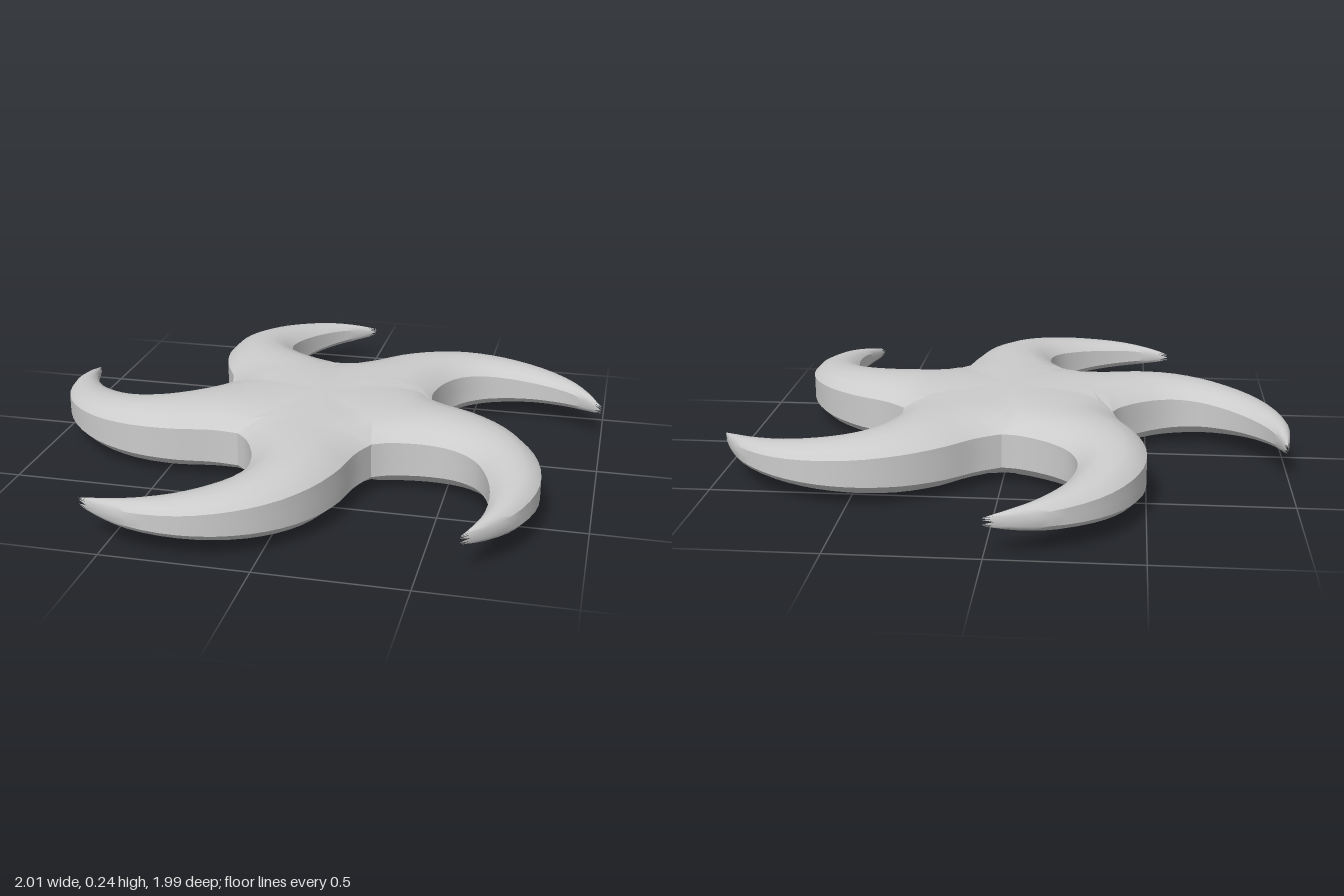
import * as THREE from 'three';
import { mergeGeometries, toCreasedNormals } from 'three/addons/utils/BufferGeometryUtils.js';

const ARMS = 5, MID = 0.122, STEPS = 24;
const CX = 0.007, CZ = 0.042; // hub of the star

// Plan outline of one arm, (x, z) from notch to tip
const inner = [[0, -0.36], [-0.06, -0.37], [-0.17, -0.43], [-0.245, -0.51], [-0.272, -0.6],
  [-0.26, -0.69], [-0.22, -0.79], [-0.15, -0.89], [-0.08, -0.95], [0, -1]];
const outer = [[-0.377, -0.076], [-0.4, -0.17], [-0.46, -0.3], [-0.496, -0.45], [-0.49, -0.6],
  [-0.44, -0.74], [-0.35, -0.86], [-0.22, -0.95], [-0.1, -0.987], [0, -1]];
// Half thickness at the same stations
const thick = [0.122, 0.122, 0.118, 0.109, 0.096, 0.082, 0.066, 0.05, 0.034, 0.014];

// Half cross-section: position across the arm, share of the half thickness
const section = [[-1, 0], [-1, 0.5], [-0.73, 0.8], [-0.36, 0.96], [0, 1],
  [0.36, 0.96], [0.73, 0.8], [1, 0.5], [1, 0]];

// Hub rings: distance from the hub, how much of the edge bevel remains
const hubRings = [[0, 0], [0.6, 0.08], [0.86, 0.35]];

function railCurve(points) {
  return new THREE.CatmullRomCurve3(
    points.map(([x, z], i) => new THREE.Vector3(x - CX, thick[i], z - CZ)), false, 'centripetal');
}

// One face (side = 1 top, -1 underside) of an arm and its wedge of the hub
function armHalf(side) {
  const inCurve = railCurve(inner), outCurve = railCurve(outer);
  // Make both notches meet their neighbours exactly
  outCurve.points[0].copy(inCurve.points[0]).applyAxisAngle(new THREE.Vector3(0, 1, 0), 2 * Math.PI / ARMS);

  const rows = [];
  const addRow = (t, scale, bevel) => {
    const a = outCurve.getPoint(t), b = inCurve.getPoint(t);
    rows.push(section.map(([s, h]) => {
      const p = a.clone().lerp(b, (s + 1) / 2);
      return [p.x * scale, side * p.y * (1 - (1 - h) * bevel), p.z * scale];
    }));
  };
  hubRings.forEach(([scale, bevel]) => addRow(0, scale, bevel));
  for (let i = 0; i <= STEPS; i++) addRow(i / STEPS, 1, 1);

  const index = [], cols = section.length;
  for (let i = 0; i < rows.length - 1; i++) {
    const skip = i < hubRings.length ? 1 : 0; // the hub has no side wall
    for (let j = skip; j < cols - 1 - skip; j++) {
      const a = i * cols + j, b = a + 1, c = b + cols, d = a + cols;
      if (i > 0) index.push(...(side > 0 ? [a, b, c] : [a, c, b]));
      if (i < rows.length - 2) index.push(...(side > 0 ? [a, c, d] : [a, d, c]));
    }
  }
  const geo = new THREE.BufferGeometry();
  geo.setAttribute('position', new THREE.Float32BufferAttribute(rows.flat(2), 3));
  geo.setIndex(index);
  return geo;
}

export function createModel() {
  const group = new THREE.Group();
  group.name = 'curvedStar';

  // Five swirling arms joined into one continuous skin
  const parts = [];
  for (let k = 0; k < ARMS; k++) {
    for (const side of [1, -1]) parts.push(armHalf(side).rotateY(k * 2 * Math.PI / ARMS));
  }
  const skin = toCreasedNormals(mergeGeometries(parts), 0.6);
  const body = new THREE.Mesh(skin, new THREE.MeshStandardMaterial({ color: 0xcccccc }));
  body.name = 'starBody';
  body.position.set(CX, MID, CZ);
  group.add(body);
  return group;
}
